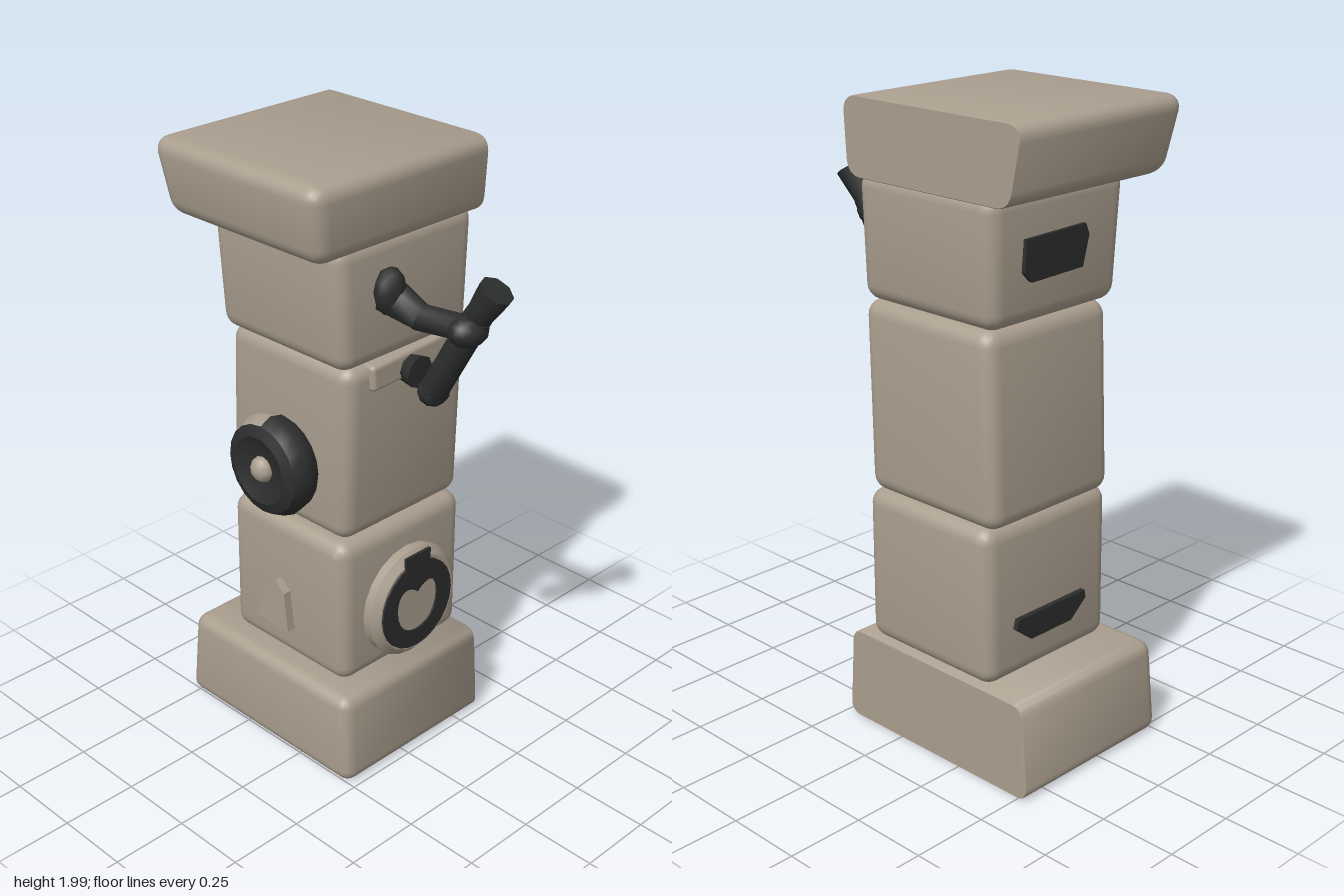
import * as THREE from 'three';
import { toCreasedNormals } from 'three/addons/utils/BufferGeometryUtils.js';
import { RoundedBoxGeometry } from 'three/addons/geometries/RoundedBoxGeometry.js';

const stone = new THREE.MeshStandardMaterial({ color: 0xaa9e8e });
stone.name = 'stone';
const iron = new THREE.MeshStandardMaterial({ color: 0x2c2d2d });
iron.name = 'iron';

const WALL = 0.345; // flat side of the pillar

function add(parent, name, geometry, material) {
  const mesh = new THREE.Mesh(geometry, material);
  mesh.name = name;
  parent.add(mesh);
  return mesh;
}

// Rounded block tapering between two [xMin, xMax, zMin, zMax] rectangles;
// a cut block is sliced flat at the wall.
function block(y0, y1, bottom, top, r, cut = false) {
  const h = y1 - y0;
  const w = bottom[1] - bottom[0], d = bottom[3] - bottom[2];
  const geo = new RoundedBoxGeometry(w, h, d, 3, r);
  const p = geo.attributes.position;
  const lerp = THREE.MathUtils.lerp;
  for (let i = 0; i < p.count; i++) {
    const t = p.getY(i) / h + 0.5;
    const [xa, xb, za, zb] = bottom.map((v, k) => lerp(v, top[k], t));
    let x = lerp(xa, cut ? xb + r : xb, p.getX(i) / w + 0.5);
    if (cut) x = Math.min(x, WALL);
    p.setXYZ(i, x, y0 + t * h, lerp(za, zb, p.getZ(i) / d + 0.5));
  }
  return toCreasedNormals(geo, 0.9);
}

// Tapered rod between two points
function rod(parent, name, a, b, ra, rb, sides = 8) {
  const from = new THREE.Vector3(...a), to = new THREE.Vector3(...b);
  const dir = to.clone().sub(from);
  const geo = toCreasedNormals(new THREE.CylinderGeometry(rb, ra, dir.length(), sides), 0.9);
  const mesh = add(parent, name, geo, iron);
  mesh.position.copy(from).add(to).multiplyScalar(0.5);
  mesh.quaternion.setFromUnitVectors(new THREE.Vector3(0, 1, 0), dir.normalize());
  return mesh;
}

function knob(parent, name, pos, scale, material) {
  const mesh = add(parent, name, new THREE.IcosahedronGeometry(1, 1), material);
  mesh.position.set(...pos);
  mesh.scale.set(...scale);
  return mesh;
}

// Flat plate from a list of outline points
function plate(points, depth) {
  const shape = new THREE.Shape(points.map(([x, y]) => new THREE.Vector2(x, y)));
  return new THREE.ExtrudeGeometry(shape, { depth, bevelEnabled: false });
}

export function createModel() {
  const model = new THREE.Group();
  model.name = 'pillar';

  // Stacked stones
  add(model, 'base', block(0.01, 0.315, [-0.265, WALL, -0.535, 0.235], [-0.255, WALL, -0.51, 0.215], 0.04, true), stone);
  add(model, 'lowerBlock', block(0.315, 0.815, [-0.19, 0.34, -0.375, 0.145], [-0.195, 0.343, -0.365, 0.145], 0.05), stone);
  add(model, 'middleBlock', block(0.815, 1.405, [-0.17, 0.343, -0.395, 0.13], [-0.18, 0.33, -0.36, 0.16], 0.05), stone);
  add(model, 'upperBlock', block(1.4, 1.79, [-0.205, 0.325, -0.37, 0.165], [-0.225, 0.343, -0.38, 0.165], 0.05), stone);
  add(model, 'cap', block(1.765, 2, [-0.322, WALL, -0.45, 0.19], [-0.35, WALL, -0.495, 0.205], 0.05, true), stone);

  // Front dial: round stone with a dark ring around a notched centre
  const dial = new THREE.Group();
  dial.name = 'dial';
  dial.position.set(0.085, 0.53, 0.13);
  model.add(dial);
  const profile = [[0, 0], [0.19, 0], [0.19, 0.045], [0.165, 0.067], [0, 0.067]];
  const disc = new THREE.LatheGeometry(profile.map(([x, y]) => new THREE.Vector2(x, y)), 20);
  add(dial, 'dialStone', toCreasedNormals(disc, 0.7), stone).rotation.x = Math.PI / 2;
  const ring = new THREE.Shape();
  ring.absarc(-0.005, 0, 0.155, 0, Math.PI * 2);
  const hole = new THREE.Path();
  hole.moveTo(-0.005, 0.045);
  hole.bezierCurveTo(0.03, 0.08, 0.08, 0.085, 0.085, 0.01);
  hole.bezierCurveTo(0.085, -0.13, -0.095, -0.13, -0.095, 0.01);
  hole.bezierCurveTo(-0.09, 0.085, -0.04, 0.08, -0.005, 0.045);
  ring.holes.push(hole);
  const ringGeo = new THREE.ExtrudeGeometry(ring, { depth: 0.009, bevelEnabled: false, curveSegments: 12 });
  add(dial, 'dialRing', ringGeo, iron).position.z = 0.064;
  const tab = add(dial, 'dialTab', new THREE.BoxGeometry(0.11, 0.07, 0.009), iron);
  tab.position.set(-0.005, 0.15, 0.069);

  // Side wheel: half stone, half dark rim with a dark face and stone hub
  const wheel = new THREE.Group();
  wheel.name = 'wheel';
  wheel.position.set(-0.16, 1.025, -0.12);
  wheel.rotation.z = Math.PI / 2;
  model.add(wheel);
  const rim = [[0.13, 0], [0.155, 0.03], [0.165, 0.075], [0.145, 0.115], [0.11, 0.13], [0.075, 0.115], [0, 0.105]]
    .map(([x, y]) => new THREE.Vector2(x, y));
  const rimHalf = (start, pts) => toCreasedNormals(new THREE.LatheGeometry(pts, 10, start, Math.PI), 0.8);
  add(wheel, 'wheelRimFront', rimHalf(-Math.PI / 2, rim.slice(0, 4)), iron);
  add(wheel, 'wheelRimBack', rimHalf(Math.PI / 2, rim.slice(0, 4)), stone);
  add(wheel, 'wheelFace', toCreasedNormals(new THREE.LatheGeometry(rim.slice(3), 20), 0.8), iron);
  knob(wheel, 'wheelHub', [0, 0.112, 0], [0.042, 0.035, 0.042], stone);

  // Side plaque
  const plaque = add(model, 'sidePlaque', plate([[-0.08, -0.085], [0.075, -0.085], [0.06, 0.05], [0.02, 0.085], [-0.025, 0.03]], 0.035), stone);
  plaque.position.set(-0.185, 0.515, -0.155);
  plaque.rotation.y = -Math.PI / 2;

  // Dark vents in raised frames on the back
  const vents = [
    ['upperVent', 1.595, [[-0.13, -0.035], [-0.1, -0.065], [0.11, -0.06], [0.135, 0.03], [0.12, 0.065], [-0.125, 0.06]]],
    ['lowerVent', 0.47, [[-0.15, 0.01], [-0.085, -0.04], [0.09, -0.04], [0.155, 0.015], [0.15, 0.04], [-0.14, 0.04]]],
  ];
  for (const [name, y, outline] of vents) {
    const vent = add(model, name, plate(outline, 0.03), iron);
    vent.position.set(0.085, y, -0.358);
    vent.rotation.y = Math.PI;
  }

  // Front lever: wall mount, arm, joint and slanted handle
  const lever = new THREE.Group();
  lever.name = 'lever';
  model.add(lever);
  knob(lever, 'leverMount', [-0.045, 1.63, 0.19], [0.052, 0.075, 0.045], iron);
  rod(lever, 'leverArmRoot', [-0.03, 1.61, 0.17], [-0.01, 1.565, 0.28], 0.06, 0.042);
  rod(lever, 'leverArm', [-0.01, 1.565, 0.27], [0.01, 1.575, 0.44], 0.042, 0.04);
  knob(lever, 'leverJoint', [0.01, 1.57, 0.44], [0.065, 0.05, 0.055], iron);
  rod(lever, 'leverHandle', [0.015, 1.33, 0.305], [0.03, 1.61, 0.455], 0.045, 0.045);
  rod(lever, 'leverGrip', [0.03, 1.6, 0.45], [0.042, 1.7, 0.51], 0.04, 0.054);
  knob(lever, 'leverTip', [0.02, 1.335, 0.305], [0.05, 0.047, 0.048], iron);

  // Ledge and peg below the lever
  const ledge = add(model, 'ledge', new RoundedBoxGeometry(0.35, 0.085, 0.06, 2, 0.015), stone);
  ledge.position.set(0.08, 1.367, 0.145);
  ledge.rotation.z = 0.05;
  rod(model, 'peg', [0.06, 1.35, 0.14], [0.06, 1.35, 0.215], 0.04, 0.052);

  return model;
}
